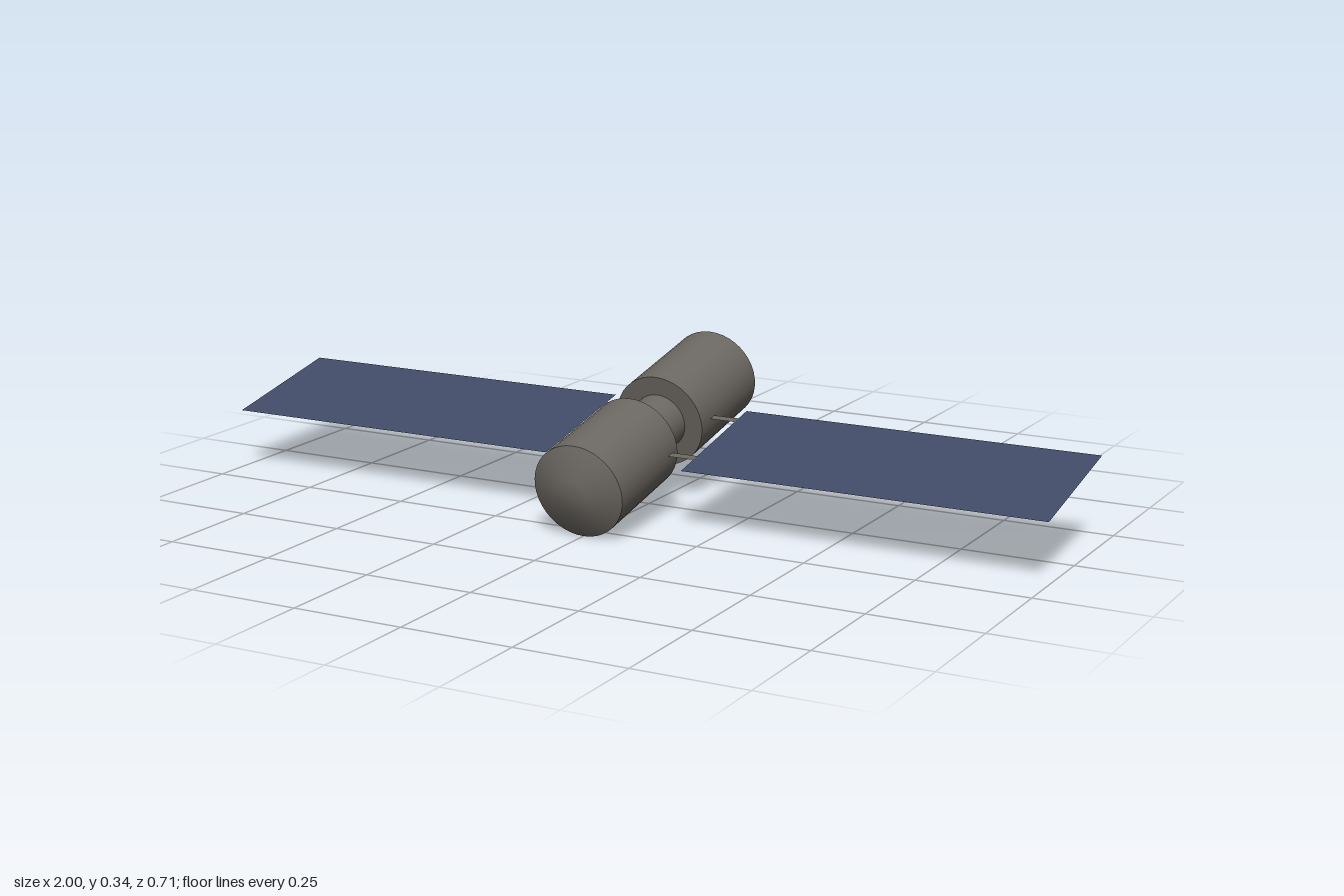
import * as THREE from 'three';

export function createModel() {
  const hull = new THREE.MeshStandardMaterial({ color: 0x6b6761 });
  hull.name = 'warmGreyHull';
  const solar = new THREE.MeshStandardMaterial({ color: 0x404b66, side: THREE.DoubleSide });
  solar.name = 'darkBluePanel';
  const strut = new THREE.MeshStandardMaterial({ color: 0x69655f, side: THREE.DoubleSide });
  strut.name = 'greyStrut';

  const model = new THREE.Group();
  model.name = 'satellite';

  // the whole craft is pitched nose down about the x axis
  const craft = new THREE.Group();
  craft.name = 'pitchedCraft';
  craft.rotation.x = 0.203;
  craft.position.y = 0.1715;
  model.add(craft);

  const add = (name, geometry, material) => {
    const mesh = new THREE.Mesh(geometry, material);
    mesh.name = name;
    craft.add(mesh);
    return mesh;
  };

  // surface of revolution along z; points are [radius, z] from back to front
  const turned = (name, points) => {
    const profile = points.map(([r, z]) => new THREE.Vector2(r, z));
    add(name, new THREE.LatheGeometry(profile, 40).rotateX(Math.PI / 2), hull);
  };

  const R = 0.107, neckR = 0.064, tipR = 0.04;
  const back = -0.322, backInner = -0.0505, frontInner = 0.069, front = 0.3235;

  // separate segments keep the rims sharp
  turned('backCap', [[0, back - 0.032], [tipR, back - 0.032], [R, back]]);
  turned('backModule', [[R, back], [R, backInner]]);
  turned('backShoulder', [[R, backInner], [0, backInner]]);
  turned('neck', [[neckR, backInner], [neckR, frontInner]]);
  turned('frontShoulder', [[0, frontInner], [R, frontInner]]);
  turned('frontModule', [[R, frontInner], [R, front]]);
  turned('frontCap', [[R, front], [tipR, front + 0.031], [0, front + 0.031]]);

  // flat solar panels and the two struts that carry each of them
  const flat = (name, x0, x1, z0, z1, material) => {
    const sheet = new THREE.PlaneGeometry(x1 - x0, z1 - z0).rotateX(-Math.PI / 2);
    add(name, sheet, material).position.set((x0 + x1) / 2, 0, (z0 + z1) / 2);
  };
  for (const [side, s] of [['left', 1], ['right', -1]]) {
    const span = (a, b) => (s > 0 ? [a, b] : [-b, -a]);
    flat(side + 'SolarPanel', ...span(0.168, 1), -0.153, 0.17, solar);
    for (const [end, z] of [['Front', 0.102], ['Back', -0.102]]) {
      flat(side + end + 'Strut', ...span(0.05, 0.168), z - 0.01, z + 0.01, strut);
    }
  }

  return model;
}
